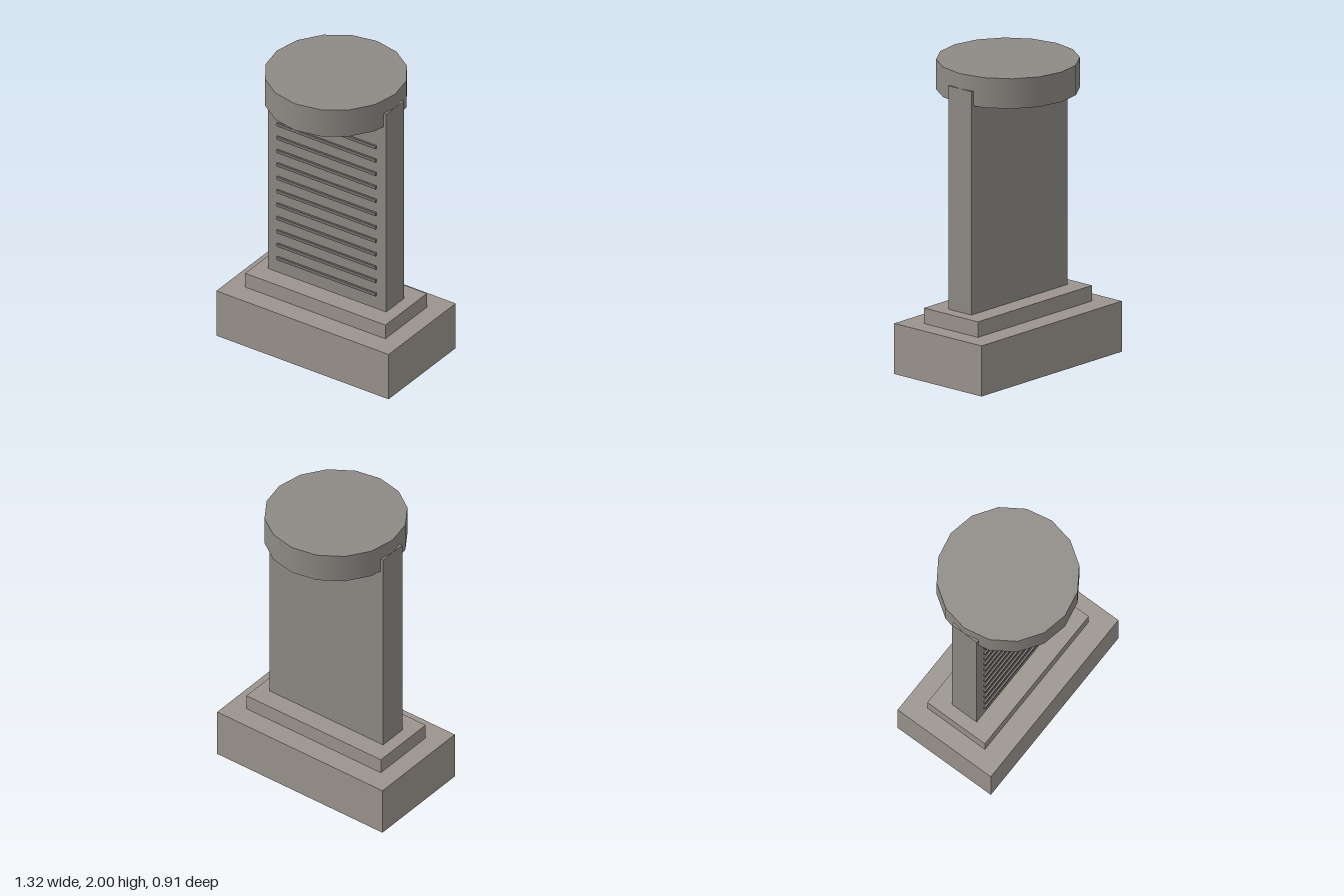
import * as THREE from 'three';

export function createModel() {
  const model = new THREE.Group();
  const baseStone = new THREE.MeshStandardMaterial({ color: 0x9b948e });
  const slabStone = new THREE.MeshStandardMaterial({ color: 0x8e8a85 });
  const lineStone = new THREE.MeshStandardMaterial({ color: 0x74716d });

  const add = (name, geometry, material, y, z = 0, parent = model) => {
    const mesh = new THREE.Mesh(geometry, material);
    mesh.name = name;
    mesh.position.set(0, y, z);
    parent.add(mesh);
    return mesh;
  };
  // Box standing on a given height
  const block = (name, w, bottom, top, d, material) =>
    add(name, new THREE.BoxGeometry(w, top - bottom, d), material, (bottom + top) / 2);

  // Stepped pedestal and upright slab
  block('base', 1.32, 0, 0.332, 0.738, baseStone);
  block('step', 1.074, 0.332, 0.434, 0.456, baseStone);
  block('slab', 0.906, 0.434, 1.9, 0.196, slabStone);

  // Round cap, sixteen sides
  add('cap', new THREE.CylinderGeometry(0.453, 0.453, 0.197, 16), slabStone, 1.9015);

  // Raised lines across the front of the slab
  const lines = new THREE.Group();
  lines.name = 'inscriptionLines';
  const lineGeometry = new THREE.BoxGeometry(0.76, 0.022, 0.02);
  for (let i = 0; i < 12; i++) {
    add('line', lineGeometry, lineStone, 0.54 + i * 0.0993, 0.1, lines);
  }
  model.add(lines);

  return model;
}
